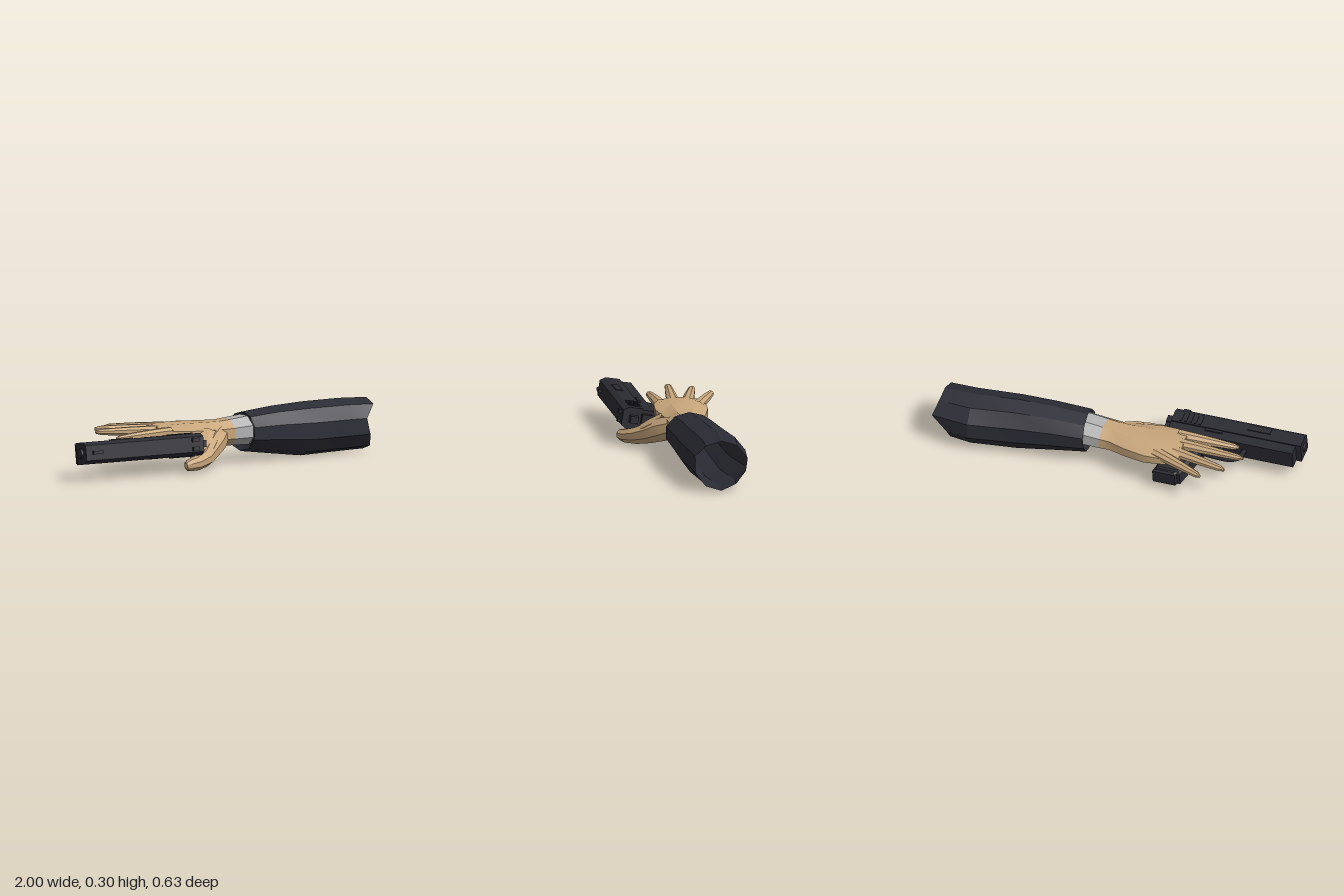
import * as THREE from 'three';
import { toCreasedNormals } from 'three/addons/utils/BufferGeometryUtils.js';

const mat = (name, color, extra = {}) => {
  const m = new THREE.MeshStandardMaterial({ color, ...extra });
  m.name = name;
  return m;
};

// Skin of n-sided rings; each station is [x, y, z, half width, half height]
function loft(stations, { sides = 8, startCap = false, endCap = false, crease = 0.4, tweak } = {}) {
  const centres = stations.map(s => new THREE.Vector3(s[0], s[1], s[2]));
  const pos = [], idx = [], up = new THREE.Vector3(0, 1, 0);
  const last = stations.length - 1, k = 1 / Math.cos(Math.PI / sides);
  const path = centres[last].clone().sub(centres[0]).normalize();
  stations.forEach((s, i) => {
    const t = centres[Math.min(i + 1, last)].clone().sub(centres[Math.max(i - 1, 0)]).normalize();
    if (t.dot(path) < 0.3) t.copy(path);
    const side = t.clone().cross(up).normalize(), top = side.clone().cross(t);
    for (let j = 0; j < sides; j++) {
      const a = (j + 0.5) / sides * Math.PI * 2;
      const p = centres[i].clone()
        .addScaledVector(side, Math.cos(a) * s[3] * k)
        .addScaledVector(top, Math.sin(a) * s[4] * k);
      if (tweak) tweak(p, i);
      pos.push(p.x, p.y, p.z);
    }
  });
  for (let i = 0; i < last; i++) for (let j = 0; j < sides; j++) {
    const a = i * sides + j, b = i * sides + (j + 1) % sides;
    idx.push(a, a + sides, b, b, a + sides, b + sides);
  }
  const cap = (i, flip) => {
    const c = pos.length / 3;
    pos.push(...centres[i].toArray());
    for (let j = 0; j < sides; j++) {
      const a = i * sides + j, b = i * sides + (j + 1) % sides;
      idx.push(c, flip ? b : a, flip ? a : b);
    }
  };
  if (startCap) cap(0, false);
  if (endCap) cap(last, true);
  const g = new THREE.BufferGeometry();
  g.setAttribute('position', new THREE.Float32BufferAttribute(pos, 3));
  g.setIndex(idx);
  return toCreasedNormals(g, crease);
}

export function createModel() {
  const model = new THREE.Group();
  model.name = 'armWithPistol';
  const skin = mat('skin', 0xc8a67b, { side: THREE.DoubleSide });
  const band = mat('greyCuff', 0xb2b2b2, { side: THREE.DoubleSide });
  const cloth = mat('darkCloth', 0x2c2c36, { side: THREE.DoubleSide });
  const metal = mat('gunMetal', 0x2a2a32);
  const add = (parent, name, geo, material) => {
    const m = new THREE.Mesh(geo, material);
    m.name = name;
    parent.add(m);
    return m;
  };

  // Sleeve: folded-in cuff, swelling forearm, ragged open end with a flap at the upper back
  add(model, 'sleeve', loft([
    [0.185, 0.17, -0.075, 0.09, 0.078],
    [0.16, 0.165, -0.072, 0.128, 0.104],
    [0.35, 0.16, -0.095, 0.133, 0.125],
    [0.55, 0.15, -0.12, 0.14, 0.142],
    [0.8, 0.15, -0.165, 0.152, 0.14],
    [0.955, 0.15, -0.165, 0.14, 0.135],
  ], {
    sides: 10, crease: 0.1,
    tweak: (p, i) => {
      if (i < 5) return;
      if (p.y > 0.25) p.x = 0.975;
      else if (p.z < -0.25) p.x = p.y > 0.15 ? 0.997 : 0.91;
      else if (p.z > -0.05) p.x = p.y > 0.15 ? 0.91 : 0.93;
    },
  }), cloth);

  // Wrist cuff
  add(model, 'wristCuff', loft([
    [0.068, 0.17, -0.07, 0.1, 0.072],
    [0.18, 0.175, -0.074, 0.102, 0.079],
  ], { crease: 0.1 }), band);

  // Hand
  const hand = new THREE.Group();
  hand.name = 'hand';
  model.add(hand);
  add(hand, 'palm', loft([
    [0.07, 0.17, -0.07, 0.1, 0.072],
    [0, 0.169, -0.068, 0.098, 0.067],
    [-0.1, 0.175, -0.075, 0.122, 0.061],
    [-0.22, 0.182, -0.075, 0.146, 0.057],
    [-0.33, 0.194, -0.075, 0.143, 0.043],
    [-0.4, 0.204, -0.065, 0.12, 0.026],
  ], { endCap: true }), skin);
  add(hand, 'thumb', loft([
    [0.0, 0.16, -0.02, 0.05, 0.055],
    [-0.07, 0.13, 0.035, 0.072, 0.065],
    [-0.14, 0.095, 0.1, 0.066, 0.056],
    [-0.2, 0.067, 0.17, 0.055, 0.045],
    [-0.27, 0.05, 0.222, 0.042, 0.036],
    [-0.325, 0.045, 0.245, 0.03, 0.03],
    [-0.345, 0.045, 0.252, 0.012, 0.016],
  ], { endCap: true }), skin);
  // Web of flesh between palm and thumb
  add(hand, 'thumbWeb', loft([
    [-0.13, 0.172, 0.01, 0.1, 0.045],
    [-0.16, 0.132, 0.075, 0.085, 0.045],
    [-0.2, 0.088, 0.145, 0.062, 0.036],
    [-0.245, 0.062, 0.2, 0.035, 0.025],
  ], { endCap: true }), skin);

  // Fingers: base x, z and tip x, y, z
  const fingers = {
    indexFinger: [-0.33, 0.026, -0.675, 0.192, 0.058],
    middleFinger: [-0.33, -0.045, -0.745, 0.219, -0.056],
    ringFinger: [-0.33, -0.115, -0.685, 0.217, -0.186],
    littleFinger: [-0.27, -0.165, -0.58, 0.21, -0.282],
  };
  for (const [name, [x0, z0, x1, y1, z1]] of Object.entries(fingers)) {
    const at = (t, w, h) => [x0 + (x1 - x0) * t, 0.206 + (y1 - 0.206) * t, z0 + (z1 - z0) * t, w, h];
    add(hand, name, loft([
      at(0, 0.036, 0.026), at(0.3, 0.031, 0.025), at(0.6, 0.026, 0.022),
      at(0.92, 0.018, 0.016), at(1, 0.007, 0.008),
    ], { endCap: true }), skin);
  }

  // Pistol lies on its side: muzzle to local -x, sights to local +y
  const gun = new THREE.Group();
  gun.name = 'pistol';
  gun.position.set(-0.24, 0.148, 0.167);
  gun.rotation.set(1.41, 0.065, 0, 'YXZ');
  model.add(gun);
  const box = (name, x0, x1, y0, y1, w, z = 0) =>
    add(gun, name, new THREE.BoxGeometry(x1 - x0, y1 - y0, w), metal)
      .position.set((x0 + x1) / 2, (y0 + y1) / 2, z);

  // Slide with chamfered top edges
  const profile = new THREE.Shape([
    [-0.061, -0.025], [0.061, -0.025], [0.061, 0.055], [0.042, 0.084], [-0.042, 0.084], [-0.061, 0.055],
  ].map(p => new THREE.Vector2(...p)));
  const slide = new THREE.ExtrudeGeometry(profile, { depth: 0.75, bevelEnabled: false });
  slide.rotateY(Math.PI / 2).translate(-0.75, 0, 0);
  add(gun, 'slide', slide, metal);
  const muzzle = new THREE.CylinderGeometry(0.028, 0.028, 0.03, 10);
  muzzle.rotateZ(Math.PI / 2).translate(-0.748, 0.03, 0);
  add(gun, 'muzzle', muzzle, metal);

  // Frame, sights and hammer
  box('frame', -0.72, 0, -0.085, -0.025, 0.108);
  box('frameTail', -0.06, 0.03, -0.075, -0.02, 0.07);
  box('hammer', -0.01, 0.04, 0.0, 0.045, 0.04);
  box('frontSight', -0.71, -0.65, 0.08, 0.102, 0.018);
  for (const s of [-1, 1]) {
    box('rearSight', -0.075, -0.035, 0.08, 0.1, 0.022, s * 0.024);
    for (let i = 0; i < 5; i++) box('serration', -0.17 + i * 0.028, -0.157 + i * 0.028, -0.015, 0.05, 0.006, s * 0.063);
    box('slideStop', -0.3, -0.2, -0.045, -0.03, 0.014, s * 0.055);
  }
  box('ejectionPort', -0.56, -0.43, 0.015, 0.055, 0.006, -0.063);

  // Grip swept back, with a flush base plate
  const sweep = (name, pts, w, bevel) => {
    const g = new THREE.ExtrudeGeometry(new THREE.Shape(pts.map(p => new THREE.Vector2(...p))), {
      depth: w - 2 * bevel, bevelThickness: bevel, bevelSize: bevel, bevelOffset: -bevel, bevelSegments: 1,
    });
    add(gun, name, g.translate(0, 0, bevel - w / 2), metal);
  };
  sweep('grip', [[-0.25, -0.07], [-0.215, -0.2], [-0.165, -0.385], [-0.015, -0.385], [-0.04, -0.2], [0, -0.07]], 0.108, 0.018);
  sweep('gripBase', [[-0.155, -0.37], [-0.14, -0.4], [-0.012, -0.4], [-0.018, -0.37]], 0.1, 0.01);

  // Trigger guard and trigger
  const guard = new THREE.CatmullRomCurve3([
    [-0.44, -0.08], [-0.43, -0.14], [-0.39, -0.167], [-0.3, -0.17], [-0.21, -0.16],
  ].map(([x, y]) => new THREE.Vector3(x, y, 0)));
  add(gun, 'triggerGuard', new THREE.TubeGeometry(guard, 12, 0.014, 6), metal);
  sweep('trigger', [[-0.32, -0.08], [-0.335, -0.15], [-0.315, -0.15], [-0.285, -0.08]], 0.02, 0.002);

  return model;
}
